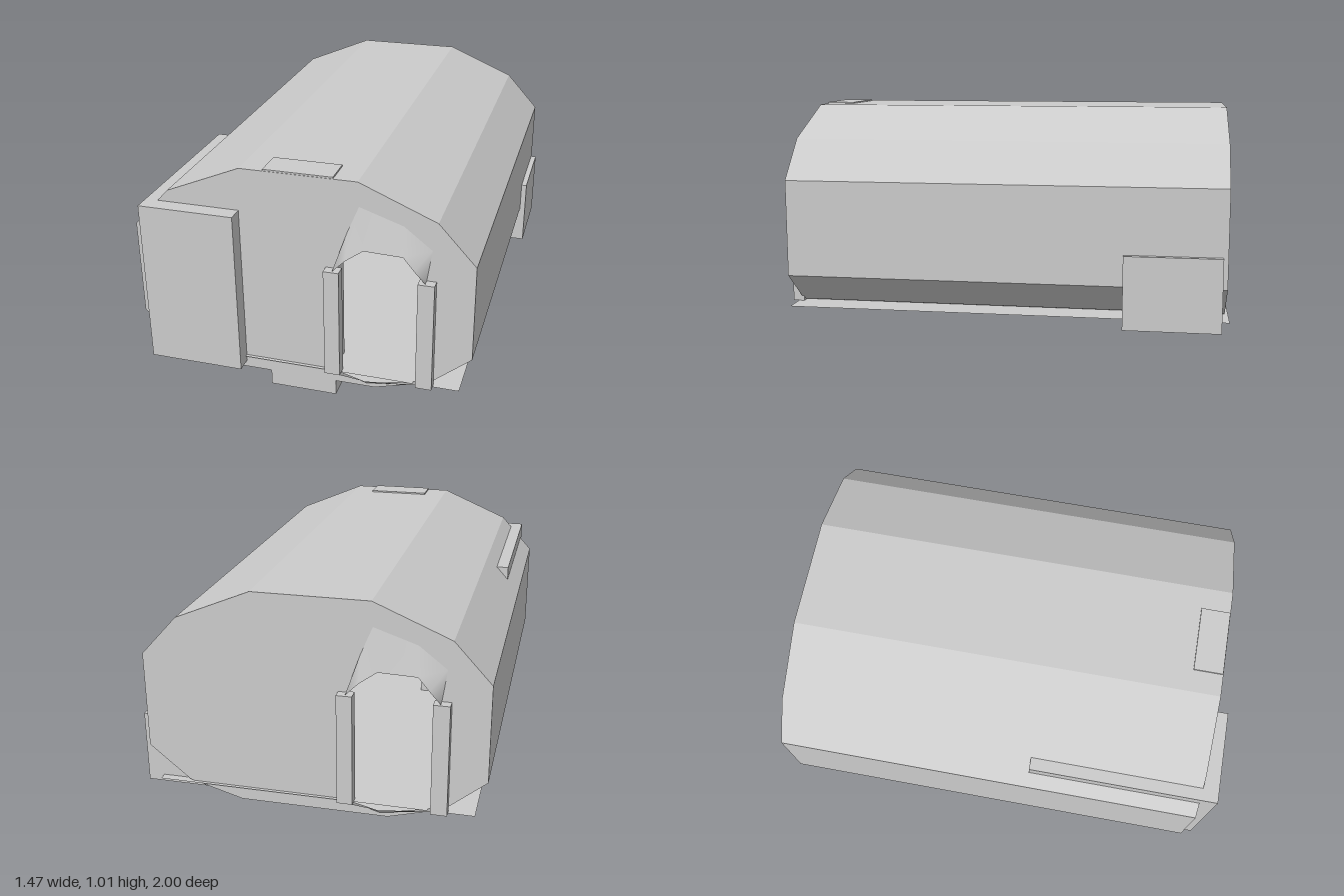
import * as THREE from 'three';

const mat = new THREE.MeshStandardMaterial({ color: 0xcccccc, side: THREE.DoubleSide });
const flat = new THREE.MeshStandardMaterial({ color: 0xcccccc, side: THREE.DoubleSide, flatShading: true });
const HALF = 0.945; // half length of the hut

function add(parent, name, geometry, material = mat) {
  const mesh = new THREE.Mesh(geometry, material);
  mesh.name = name;
  parent.add(mesh);
  return mesh;
}

// box from its lower and upper limits on each axis
function block(parent, name, [x0, x1], [y0, y1], [z0, z1]) {
  const mesh = add(parent, name, new THREE.BoxGeometry(x1 - x0, y1 - y0, z1 - z0));
  mesh.position.set((x0 + x1) / 2, (y0 + y1) / 2, (z0 + z1) / 2);
}

// joins two closed loops of [x, y, z] points with a band of quads
function band(a, b) {
  const pos = [], index = [], n = a.length;
  for (const p of [...a, ...b]) pos.push(...p);
  for (let i = 0; i < n; i++) {
    const j = (i + 1) % n;
    index.push(i, j, n + j, i, n + j, n + i);
  }
  const g = new THREE.BufferGeometry();
  g.setAttribute('position', new THREE.Float32BufferAttribute(pos, 3));
  g.setIndex(index);
  g.computeVertexNormals();
  return g;
}

const at = (points, z) => points.map(([x, y]) => [x, y, z]);
const vectors = (points) => points.map(([x, y]) => new THREE.Vector2(x, y));

export function createModel() {
  const model = new THREE.Group();
  model.name = 'hut';

  // hut shell, symmetrical about its own centre
  const shell = new THREE.Group();
  shell.name = 'shell';
  shell.position.set(-0.015, 0, -0.015);
  model.add(shell);

  const right = [[0.315, 0.07], [0.545, 0.135], [0.72, 0.28], [0.72, 0.7], [0.565, 0.87], [0.245, 1.005]];
  const profile = [...right, ...right.map(([x, y]) => [-x, y]).reverse()];
  add(shell, 'wallsAndRoof', band(at(profile, -HALF), at(profile, HALF)), flat);

  const floor = add(shell, 'floor', new THREE.PlaneGeometry(1.35, 1.92));
  floor.rotation.x = -Math.PI / 2;
  floor.position.y = 0.13;

  // doorway outline at the wall and at the projecting lip
  const opening = [[0.145, 0.125], [0.28, 0.085], [0.525, 0.14], [0.525, 0.615],
    [0.545, 0.75], [0.43, 0.84], [0.25, 0.9], [0.2, 0.78], [0.145, 0.615]];
  const lip = [[0.145, 0.127], [0.28, 0.113], [0.525, 0.14], [0.525, 0.615],
    [0.48, 0.665], [0.435, 0.72], [0.275, 0.725], [0.2, 0.67], [0.145, 0.615]];

  // the same end wall and doorway at each end, turned half round
  for (const [name, turn] of [['front', 0], ['back', Math.PI]]) {
    const end = new THREE.Group();
    end.name = name + 'End';
    end.rotation.y = turn;
    shell.add(end);

    const shape = new THREE.Shape(vectors(profile));
    shape.holes.push(new THREE.Path(vectors(opening)));
    add(end, 'endWall', new THREE.ShapeGeometry(shape)).position.z = HALF;
    add(end, 'doorHood', band(at(opening, HALF), at(lip, HALF + 0.03)));
    block(end, 'doorPost', [0.11, 0.175], [0.13, 0.615], [HALF - 0.01, HALF + 0.04]);
    block(end, 'doorPost', [0.497, 0.565], [0.13, 0.615], [HALF - 0.01, HALF + 0.04]);
  }

  // solid blocks running through the shell
  block(model, 'frontCabinet', [-0.68, -0.27], [0.1, 0.82], [0.17, 1]);
  block(model, 'backCabinet', [0.1, 0.73], [0.1, 0.415], [-0.94, -0.53]);
  block(model, 'frontPillar', [-0.16, 0.13], [0, 1.012], [0.8, 0.928]);

  return model;
}
